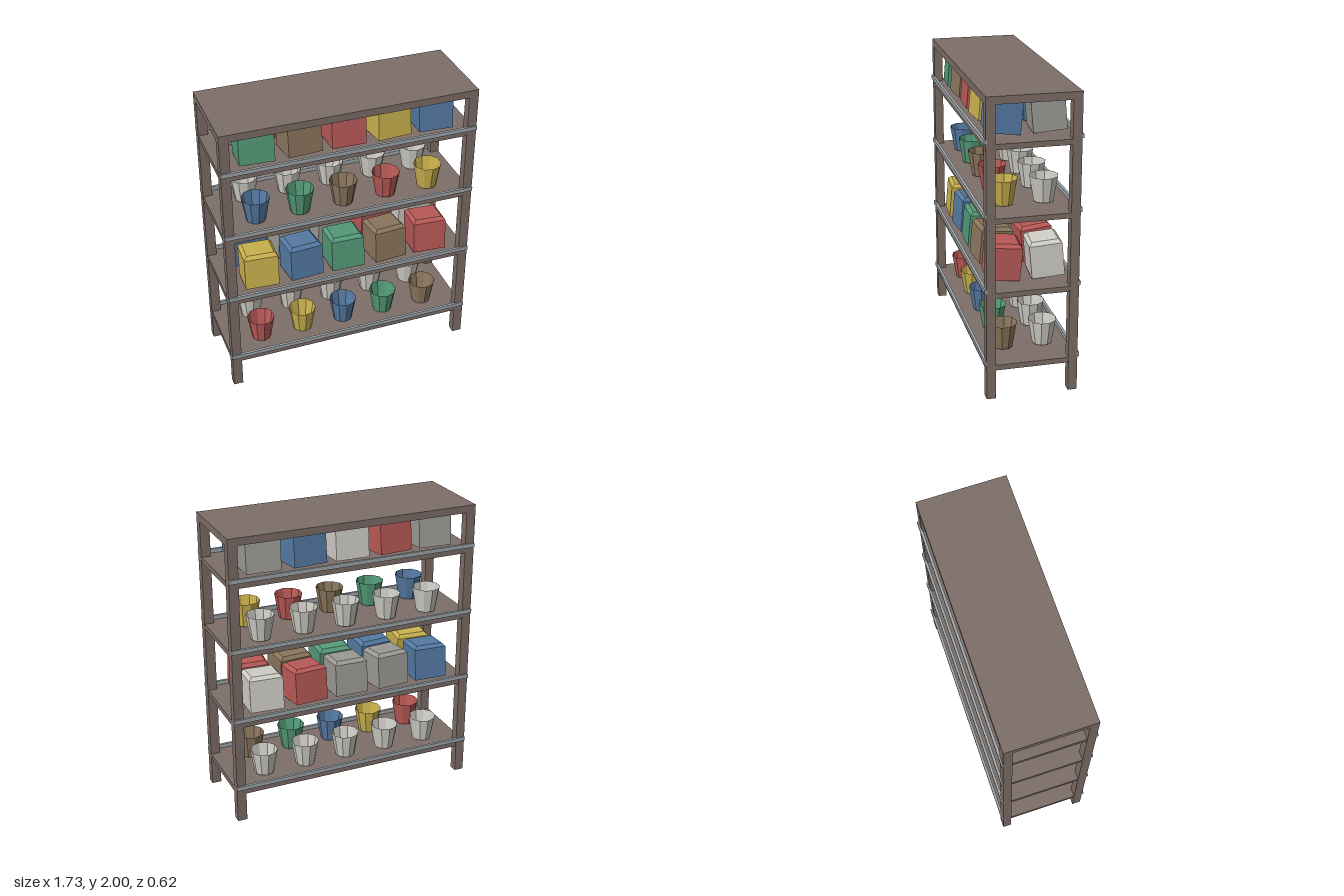
import * as THREE from 'three';

const mat = (color, side = THREE.FrontSide) =>
  new THREE.MeshStandardMaterial({ color, side, flatShading: true });

const C = {
  wood: 0x7d6e67, rail: 0xa0a9ad, red: 0xb95a57, yellow: 0xcab24e, blue: 0x557aa3,
  green: 0x549a78, brown: 0x8b765c, grey: 0x9c9b97, pale: 0xd0cec7,
};

// Carton: box body whose top ring is drawn in to form a bevelled lid
function cartonGeometry(w, h, d, lid, inset) {
  const g = new THREE.BoxGeometry(w, h + lid, d, 1, 2, 1);
  const p = g.attributes.position;
  for (let i = 0; i < p.count; i++) {
    const y = p.getY(i);
    if (y > 0.01) {
      p.setXYZ(i, p.getX(i) * (1 - 2 * inset / w), h / 2 + lid, p.getZ(i) * (1 - 2 * inset / d));
    } else {
      p.setY(i, y < -0.01 ? -h / 2 : h / 2);
    }
  }
  const flat = g.toNonIndexed();
  flat.computeVertexNormals();
  return flat;
}

// Cup: open tapered bucket with a closed bottom
function cupGeometry(rTop, rBottom, h) {
  const profile = [[0, 0.003], [rBottom, 0.003], [rTop, h]].map(([x, y]) => new THREE.Vector2(x, y));
  return new THREE.LatheGeometry(profile, 10);
}

export function createModel() {
  const model = new THREE.Group();
  const wood = mat(C.wood);
  const railMat = mat(C.rail);

  const box = (name, w, h, d, x, y, z, material) => {
    const m = new THREE.Mesh(new THREE.BoxGeometry(w, h, d), material);
    m.name = name;
    m.position.set(x, y, z);
    model.add(m);
  };

  // Frame: four posts and a top slab
  for (const sx of [-1, 1]) {
    for (const sz of [-1, 1]) {
      box('post', 0.065, 1.95, 0.06, sx * 0.8325, 0.975, sz * 0.271, wood);
    }
  }
  box('topPanel', 1.73, 0.05, 0.602, 0, 1.975, 0, wood);

  // Goods on each shelf, listed from -x to +x
  const shelves = [
    { y: 0.235, kind: 'cup',
      front: ['red', 'yellow', 'blue', 'green', 'brown'],
      back: ['pale', 'pale', 'pale', 'pale', 'pale'] },
    { y: 0.735, kind: 'carton',
      front: ['yellow', 'blue', 'green', 'brown', 'red'],
      back: ['blue', 'grey', 'grey', 'red', 'pale'] },
    { y: 1.23, kind: 'cup',
      front: ['blue', 'green', 'brown', 'red', 'yellow'],
      back: ['pale', 'pale', 'pale', 'pale', 'pale'] },
    { y: 1.705, kind: 'carton',
      front: ['green', 'brown', 'red', 'yellow', 'blue'],
      back: ['grey', 'red', 'pale', 'blue', 'grey'] },
  ];
  const carton = cartonGeometry(0.23, 0.22, 0.215, 0.023, 0.022);
  const cup = cupGeometry(0.095, 0.066, 0.172);
  const yaw = [-0.07, 0.07, -0.02, 0.07, -0.07];

  for (const shelf of shelves) {
    // Shelf board with an edge rail on both long sides
    box('shelf', 1.725, 0.036, 0.598, 0, shelf.y - 0.018, 0, wood);
    for (const s of [-1, 1]) {
      box('edgeRail', 1.73, 0.028, 0.018, 0, shelf.y + 0.016, s * 0.303, railMat);
    }

    // Front row faces +z; the back row is turned half round
    for (const side of ['front', 'back']) {
      const row = new THREE.Group();
      row.name = side + 'Row';
      if (side === 'back') row.rotation.y = Math.PI;
      const colors = side === 'front' ? shelf.front : [...shelf.back].reverse();
      colors.forEach((c, i) => {
        const isCup = shelf.kind === 'cup';
        const m = new THREE.Mesh(isCup ? cup : carton, mat(C[c], isCup ? THREE.DoubleSide : THREE.FrontSide));
        m.name = shelf.kind;
        const x = (i - 2) * 0.303;
        if (isCup) {
          m.position.set(x, shelf.y + 0.004, 0.133);
        } else {
          // Cartons lean back a little and are slightly askew
          m.position.set(x, shelf.y + 0.127, 0.139);
          m.rotation.set(-0.09, yaw[i], 0, 'YXZ');
        }
        row.add(m);
      });
      model.add(row);
    }
  }
  return model;
}
